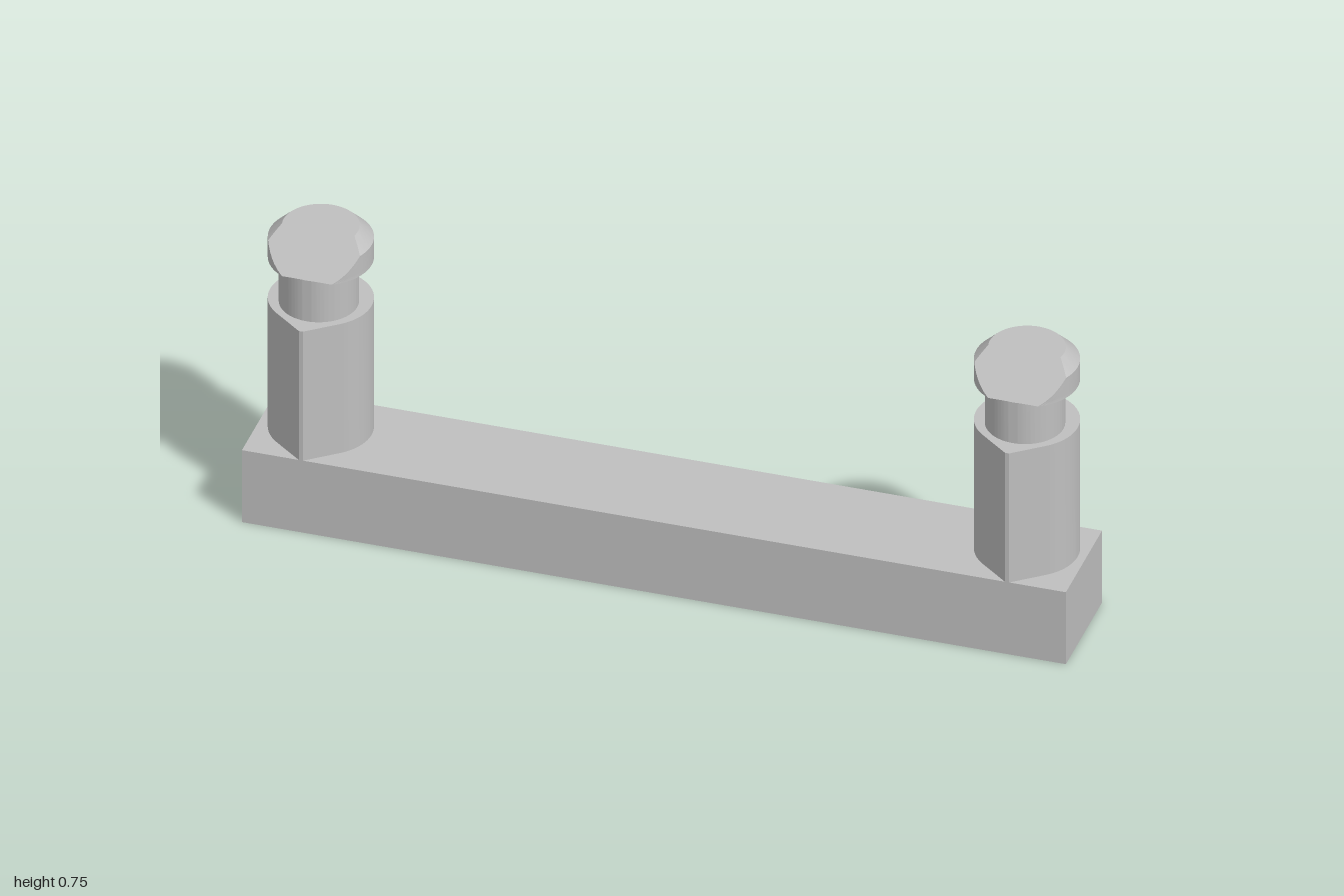
import * as THREE from 'three';
import { toCreasedNormals } from 'three/addons/utils/BufferGeometryUtils.js';

const gray = new THREE.MeshStandardMaterial({ color: 0xbfbfbf });
gray.name = 'plain gray';

const BAR_TOP = 0.198, POST_TOP = 0.553, NECK_TOP = 0.665, HEAD_EDGE = 0.72, HEAD_TOP = 0.752;
const PIN_X = 0.857, POST_Z = -0.015, POST_R = 0.123, NECK_R = 0.093;

function part(name, geometry) {
  const mesh = new THREE.Mesh(geometry, gray);
  mesh.name = name;
  return mesh;
}

// Upright teardrop prism: a circle with tangents to a narrow tip, pointing to -z
function teardrop(r, tip, y0, y1) {
  const w = 0.005;
  const a = Math.atan2(tip, w) - Math.acos(r / Math.hypot(w, tip));
  const shape = new THREE.Shape();
  shape.moveTo(-w, tip);
  shape.lineTo(w, tip);
  shape.absarc(0, 0, r, a, Math.PI - a, true);
  shape.closePath();
  const g = new THREE.ExtrudeGeometry(shape, { depth: y1 - y0, bevelEnabled: false, curveSegments: 64 });
  g.rotateX(-Math.PI / 2);
  g.translate(0, y0, 0);
  return toCreasedNormals(g, 0.4);
}

// Chamfered disc with a 45 degree slice off the front, lofted through D-shaped sections
function slicedHead() {
  const N = 64, pos = [], rings = [];
  const ring = (y) => {
    const r = y <= HEAD_EDGE ? POST_R : POST_R - (y - HEAD_EDGE) * (0.033 / (HEAD_TOP - HEAD_EDGE));
    const cut = 0.757 - y - POST_Z;
    const t0 = Math.acos(Math.min(1, cut / r));
    return Array.from({ length: N + 1 }, (_, i) => {
      const t = t0 + (2 * Math.PI - 2 * t0) * i / N;
      return [r * Math.sin(t), y, POST_Z + r * Math.cos(t)];
    });
  };
  for (let k = 0; k <= 6; k++) rings.push(ring(NECK_TOP + (HEAD_EDGE - NECK_TOP) * k / 6));
  for (let k = 1; k <= 4; k++) rings.push(ring(HEAD_EDGE + (HEAD_TOP - HEAD_EDGE) * k / 4));

  const tri = (a, b, c) => pos.push(...a, ...b, ...c);
  for (let k = 0; k < rings.length - 1; k++) {
    const a = rings[k], b = rings[k + 1];
    for (let i = 0; i <= N; i++) {
      const j = (i + 1) % (N + 1);
      tri(a[i], a[j], b[j]);
      tri(a[i], b[j], b[i]);
    }
  }
  // Top and underside
  const low = rings[0], top = rings[rings.length - 1];
  for (let i = 1; i < N; i++) {
    tri(top[0], top[i], top[i + 1]);
    tri(low[0], low[i + 1], low[i]);
  }
  const g = new THREE.BufferGeometry();
  g.setAttribute('position', new THREE.Float32BufferAttribute(pos, 3));
  return toCreasedNormals(g, 0.4);
}

export function createModel() {
  const model = new THREE.Group();
  model.name = 'barWithTwoPins';

  const bar = part('baseBar', new THREE.BoxGeometry(2, BAR_TOP, 0.276));
  bar.position.y = BAR_TOP / 2;
  model.add(bar);

  // Post tip points forward, neck tip points back
  const postGeo = teardrop(POST_R, 0.153, BAR_TOP, POST_TOP).rotateY(Math.PI).translate(0, 0, POST_Z);
  const neckGeo = teardrop(NECK_R, 0.138, POST_TOP, NECK_TOP);
  const headGeo = slicedHead();

  for (const [side, s] of [['left', 1], ['right', -1]]) {
    const pin = new THREE.Group();
    pin.name = side + 'Pin';
    pin.add(part('post', postGeo), part('neck', neckGeo), part('head', headGeo));
    pin.position.x = s * PIN_X;
    model.add(pin);
  }
  return model;
}
